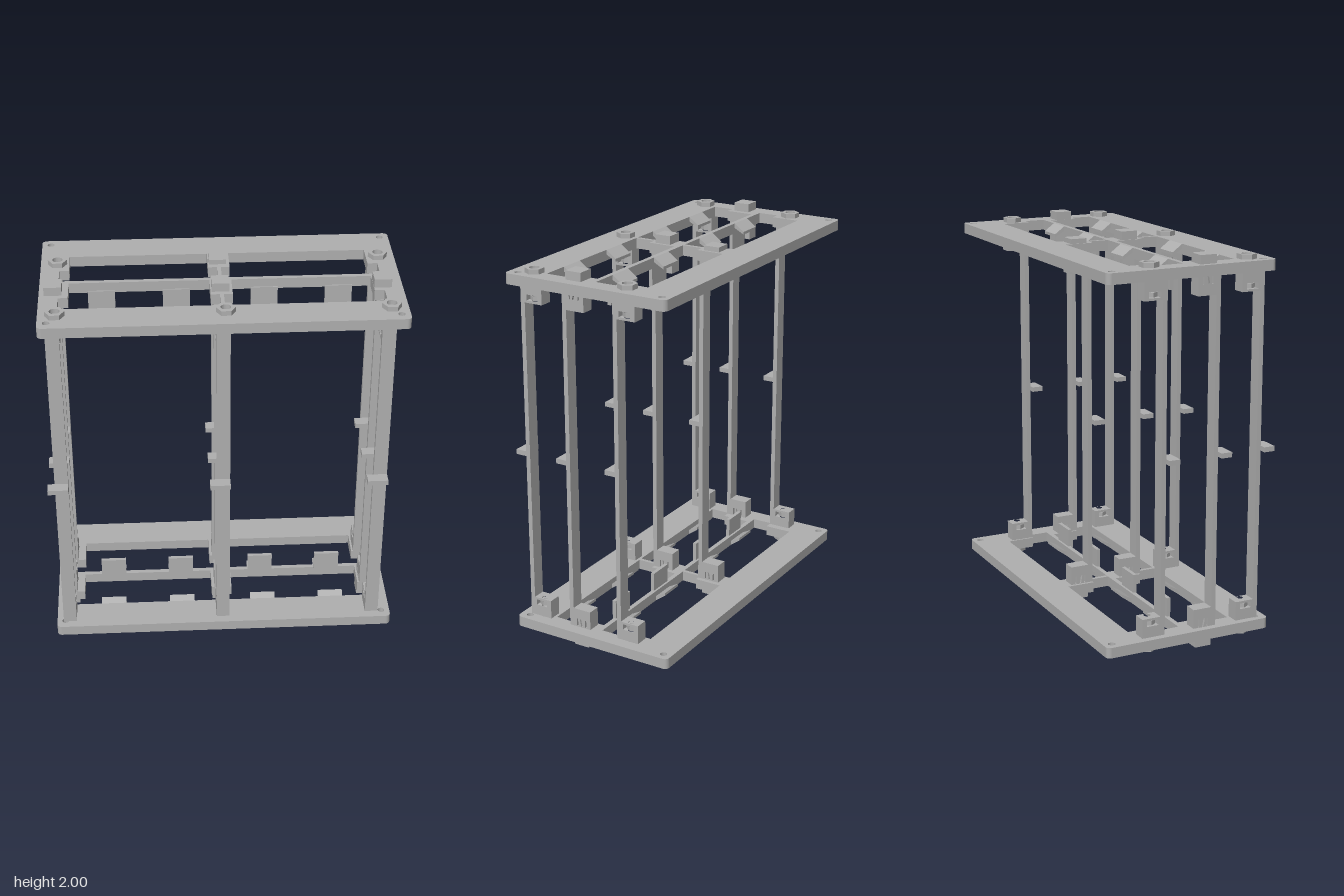
import * as THREE from 'three';

const gray = new THREE.MeshStandardMaterial({ color: 0xb0b0b0 });
gray.name = 'plain gray';

const polygon = (Type, pts) => new Type(pts.map(([a, b]) => new THREE.Vector2(a, b)));
const rect = (x0, x1, z0, z1) =>
  polygon(THREE.Shape, [[x0, -z0], [x1, -z0], [x1, -z1], [x0, -z1]]);
const hole = (x, z, r) => new THREE.Path().absarc(x, -z, r, 0, Math.PI * 2, true);
const hex = (x, z, r) => polygon(THREE.Shape, Array.from({ length: 6 }, (_, i) => {
  const a = i * Math.PI / 3;
  return [x + r * Math.cos(a), -z + r * Math.sin(a)];
}));

export function createModel() {
  const model = new THREE.Group();
  model.name = 'cardRack';

  const add = (name, geometry) => {
    const mesh = new THREE.Mesh(geometry, gray);
    mesh.name = name;
    model.add(mesh);
  };
  const box = (name, x0, x1, y0, y1, z0, z1) => add(name,
    new THREE.BoxGeometry(x1 - x0, y1 - y0, z1 - z0)
      .translate((x0 + x1) / 2, (y0 + y1) / 2, (z0 + z1) / 2));
  // Horizontal layer: shape in x and -z, extruded upwards
  const layer = (name, shape, y0, y1, holes = []) => {
    shape.holes.push(...holes);
    add(name, new THREE.ExtrudeGeometry(shape, { depth: y1 - y0, bevelEnabled: false, curveSegments: 10 })
      .rotateX(-Math.PI / 2).translate(0, y0, 0));
  };
  // Side profile of [z, y] points, extruded along x
  const profile = (name, pts, x0, x1, slits = []) => {
    const toShape = list => list.map(([z, y]) => [-z, y]);
    const shape = polygon(THREE.Shape, toShape(pts));
    shape.holes = slits.map(s => polygon(THREE.Path, toShape(s)));
    add(name, new THREE.ExtrudeGeometry(shape, { depth: x1 - x0, bevelEnabled: false })
      .rotateY(Math.PI / 2).translate(x0, 0, 0));
  };

  const columnX = [-0.835, -0.005, 0.805];
  const columnZ = [0.405, 0.16, -0.13]; // front faces
  const isClip = (col, row) => row === 1 || (row === 2 && col === 1);
  const boltAt = (col, row) => [columnX[col] + 0.015, columnZ[row] - 0.075];

  // Frame outline with rounded corners, holes and four stepped openings
  const plateShape = () => {
    const [w, b, f, r] = [0.905, -0.465, 0.452, 0.025];
    const s = new THREE.Shape();
    s.absarc(w - r, -b - r, r, 0, Math.PI / 2);
    s.absarc(-w + r, -b - r, r, Math.PI / 2, Math.PI);
    s.absarc(-w + r, -f + r, r, Math.PI, Math.PI * 1.5);
    s.absarc(w - r, -f + r, r, Math.PI * 1.5, Math.PI * 2);
    s.closePath();
    const opening = [[0.055, -0.28], [0.76, -0.28], [0.76, -0.13], [0.81, -0.13],
      [0.81, -0.02], [0.01, -0.02], [0.01, -0.13], [0.055, -0.13]];
    for (const side of [1, -1]) {
      for (const shift of [0, 0.285])
        s.holes.push(polygon(THREE.Path, opening.map(([x, z]) => [side * x, -z - shift])));
      for (const z of [-0.42, 0.4]) s.holes.push(hole(side * 0.86, z, 0.018));
    }
    columnX.forEach((_, col) => columnZ.forEach((__, row) => {
      if (!isClip(col, row)) s.holes.push(hole(...boltAt(col, row), 0.021));
    }));
    return s;
  };

  // Both ends are mirror images about y = 1
  for (const top of [true, false]) {
    const end = top ? 'top' : 'bottom';
    const my = y => (top ? y : 2 - y);
    const span = (a, b) => (top ? [a, b] : [2 - b, 2 - a]);

    layer(end + 'Frame', plateShape(), ...span(1.9, 1.955));

    // Sloping guide flaps and upright guide plates
    for (const x of [-0.598, -0.222, 0.222, 0.598]) {
      const [x0, x1] = [x - 0.068, x + 0.068];
      for (const dz of [0, 0.285])
        profile(end + 'GuideFlap', [[-0.02, 1.955], [-0.075, 1.915], [-0.075, 1.9], [-0.02, 1.93]]
          .map(([z, y]) => [z + dz, my(y)]), x0, x1);
      box(end + 'GuidePlate', x0, x1, ...span(1.8, 1.91), -0.008, 0.012);
    }

    // Column end blocks
    columnX.forEach((cx, col) => columnZ.forEach((zf, row) => {
      const [x0, x1, zb] = [cx - 0.035, cx + 0.035, zf - 0.125];
      if (isClip(col, row)) {
        // Snap block with slits, and its pad outside the frame
        const slit = (za, zc) => [[za, 1.897], [za + 0.008, 1.897], [zc + 0.008, 1.855], [zc, 1.855]]
          .map(([z, y]) => [zf + z, my(y)]);
        profile(end + 'SnapBlock', [[zb, 1.8], [zf, 1.8], [zf, 1.9], [zb, 1.9]]
          .map(([z, y]) => [z, my(y)]), x0, x1,
          [slit(-0.05, -0.05), slit(-0.076, -0.068), slit(-0.1, -0.1)]);
        box(end + 'SnapPad', cx - 0.044, cx + 0.044, ...span(1.955, row === 1 ? 2 : 1.98),
          zf - 0.119, zf - 0.031);
      } else {
        // Bolted block with a nut slot, and the hex nut outside the frame
        const [bx, bz] = boltAt(col, row);
        const bore = () => [hole(bx, bz, 0.018)];
        layer(end + 'BlockCap', rect(x0, x1, zb, zf), ...span(1.8, 1.812), bore());
        layer(end + 'BlockBody', rect(x0, x1, zb, zf), ...span(1.842, 1.9), bore());
        box(end + 'SlotRearWall', x0, x1, ...span(1.812, 1.842), zb, zf - 0.1);
        box(end + 'SlotFrontWall', x0, x1, ...span(1.812, 1.842), zf - 0.035, zf);
        layer(end + 'CaptiveNut', hex(cx, bz, 0.034), ...span(1.815, 1.838), [hole(bx, bz, 0.018)]);
        layer(end + 'HexNut', hex(bx, bz, 0.049), ...span(1.955, 1.98), [hole(bx, bz, 0.026)]);
      }
    }));
  }

  // Columns with a small tab at mid height
  for (const cx of columnX) for (const zf of columnZ) {
    box('column', cx - 0.035, cx + 0.035, 0.1, 1.9, zf - 0.024, zf);
    box('columnTab', cx - 0.07, cx + 0.035, 0.987, 1.013, zf, zf + 0.06);
  }
  return model;
}
